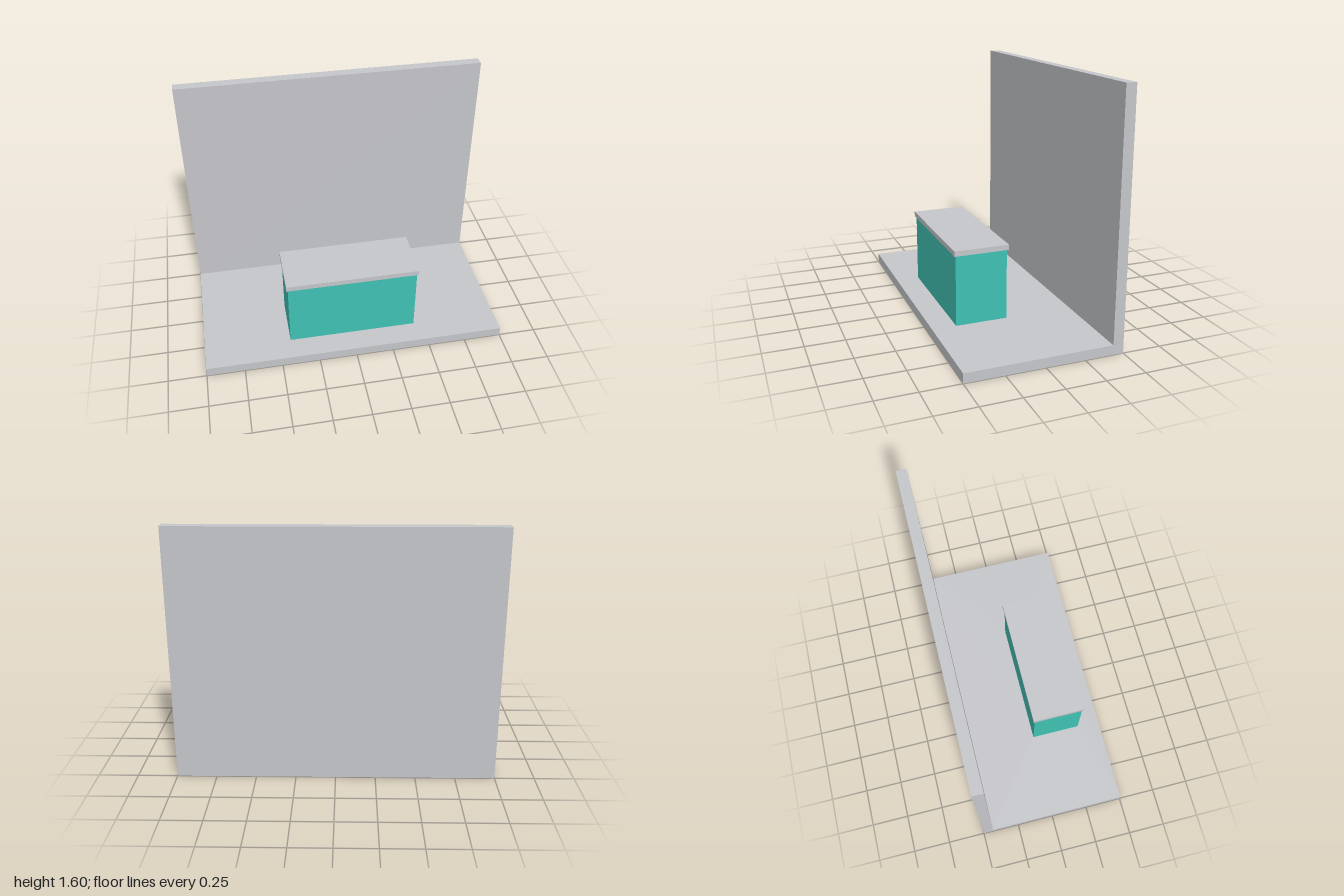
import * as THREE from 'three';

const COUNTER = { x: 0.427, z0: 0.01, z1: 0.345, top: 0.52 };
const FLOOR = 0.062;

export function createModel() {
  const grey = new THREE.MeshStandardMaterial({ color: 0xc5c6ca });
  grey.name = 'light grey';
  const teal = new THREE.MeshStandardMaterial({ color: 0x40c1b3 });
  teal.name = 'teal';

  const model = new THREE.Group();
  model.name = 'boothDisplay';

  // Box given by its minimum and maximum corners
  const box = (name, material, min, max) => {
    const size = max.map((v, i) => v - min[i]);
    const mesh = new THREE.Mesh(new THREE.BoxGeometry(...size), material);
    mesh.position.set(...min.map((v, i) => (v + max[i]) / 2));
    mesh.name = name;
    model.add(mesh);
  };

  // Rectangle in plan, with shape y pointing to the back
  const rectangle = (Type, x, z0, z1) => new Type([
    new THREE.Vector2(-x, -z1), new THREE.Vector2(x, -z1),
    new THREE.Vector2(x, -z0), new THREE.Vector2(-x, -z0),
  ]);

  // Floor slab, cut out where the counter stands through it
  const plan = rectangle(THREE.Shape, 1, -0.433, 0.5);
  plan.holes.push(rectangle(THREE.Path, COUNTER.x, COUNTER.z0, COUNTER.z1));
  const slab = new THREE.ExtrudeGeometry(plan, { depth: FLOOR, bevelEnabled: false });
  slab.rotateX(-Math.PI / 2);
  const floor = new THREE.Mesh(slab, grey);
  floor.name = 'floor';
  model.add(floor);

  // Back wall, full height behind the floor
  box('backWall', grey, [-1, 0, -0.5], [1, 1.6, -0.433]);

  // Counter body and its overhanging top
  box('counterBody', teal, [-COUNTER.x, 0, COUNTER.z0], [COUNTER.x, COUNTER.top, COUNTER.z1]);
  box('counterTop', grey, [-0.437, COUNTER.top, 0], [0.437, 0.554, 0.355]);

  return model;
}
